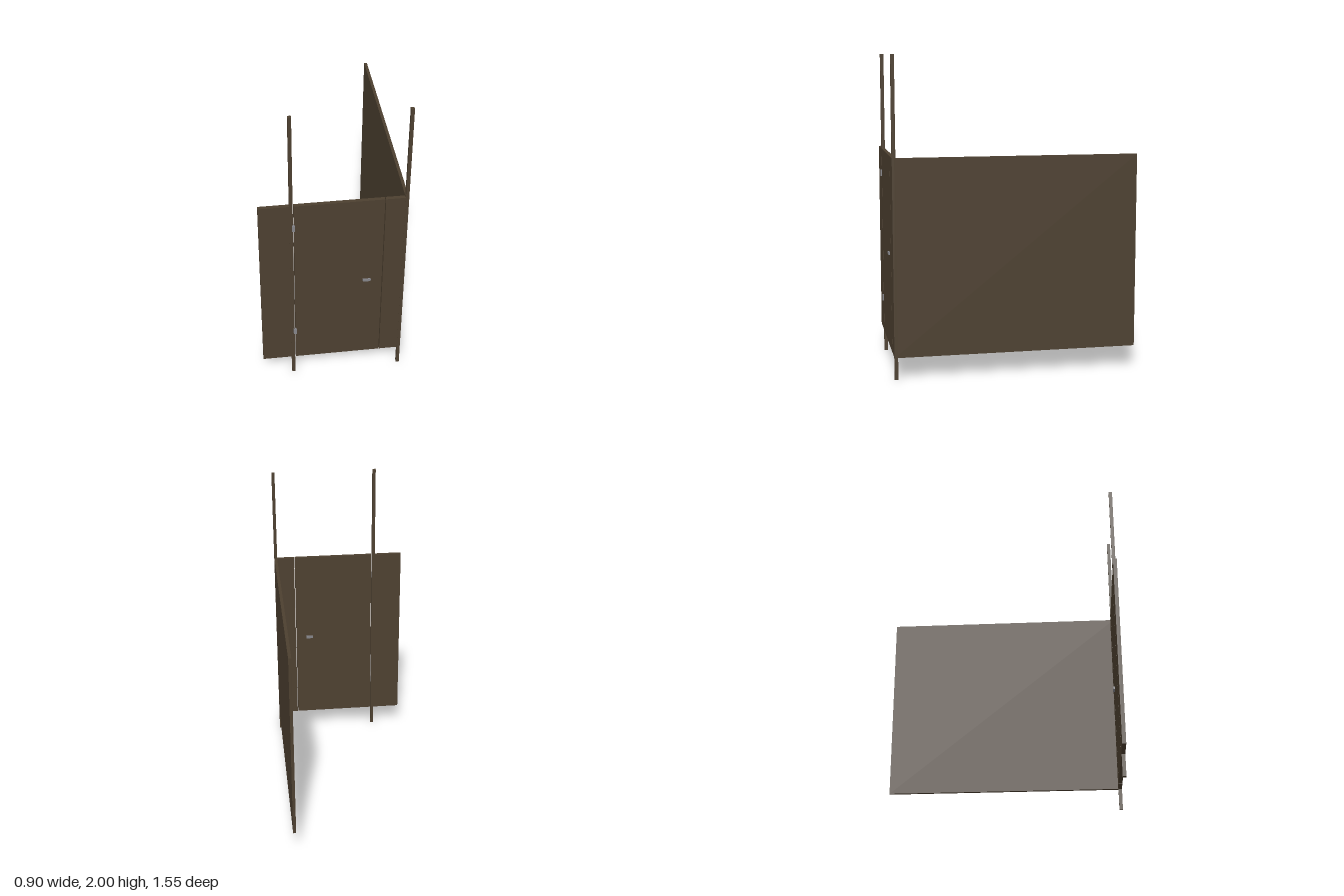
import * as THREE from 'three';

export function createModel() {
  const model = new THREE.Group();
  const laminate = new THREE.MeshStandardMaterial({ color: 0x4d4030 });
  const metal = new THREE.MeshStandardMaterial({ color: 0x85858a });

  // Box given by its limits on each axis
  const box = (name, [x0, x1], [y0, y1], [z0, z1], material = laminate) => {
    const mesh = new THREE.Mesh(new THREE.BoxGeometry(x1 - x0, y1 - y0, z1 - z0), material);
    mesh.position.set((x0 + x1) / 2, (y0 + y1) / 2, (z0 + z1) / 2);
    mesh.name = name;
    model.add(mesh);
  };

  const height = [0.139, 1.379]; // shared by all panels
  const front = [0.743, 0.767]; // thickness of the front wall

  // Front wall: fixed panel, door and narrow filler, with thin gaps between
  box('fixedPanel', [-0.449, -0.243], height, front);
  box('door', [-0.238, 0.304], height, front);
  box('fillerPanel', [0.309, 0.427], height, front);

  // Long side partition
  box('sidePartition', [0.427, 0.446], height, [-0.777, 0.767]);

  // Floor-to-ceiling posts
  box('rightPost', [-0.264, -0.243], [0, 2], [0.745, 0.7675]);
  box('leftPost', [0.4265, 0.4465], [0, 2], [0.745, 0.7675]);

  // Hinges bridge the gap beside the door
  for (const y of [0.37, 1.217]) {
    box('hinge', [-0.25, -0.231], [y - 0.021, y + 0.021], [0.76, 0.777], metal);
  }

  // Latch handle shows on both faces of the door
  box('latchHandle', [0.185, 0.234], [0.75, 0.767], [0.732, 0.776], metal);

  return model;
}
